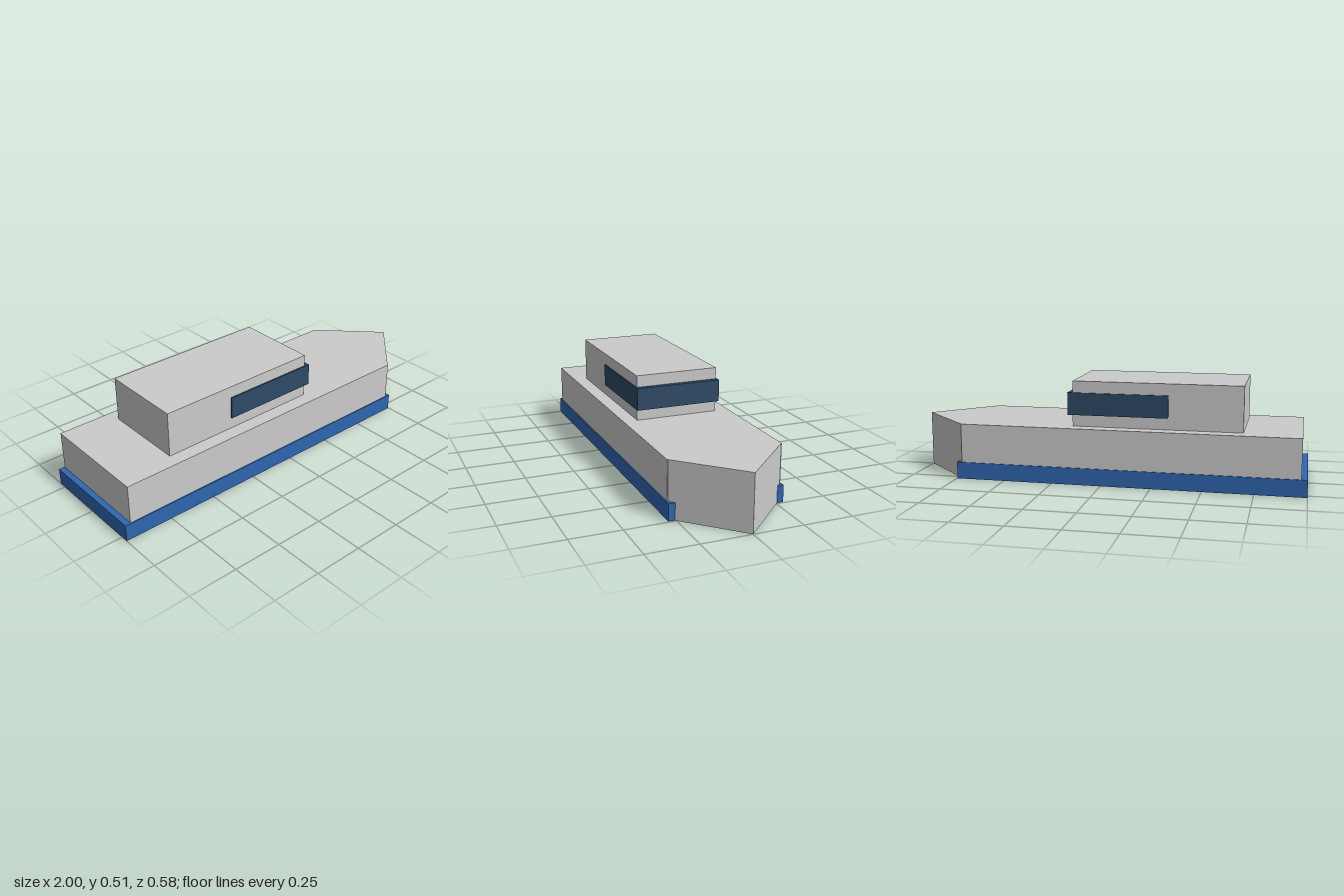
import * as THREE from 'three';

const paint = (color) => new THREE.MeshStandardMaterial({ color, flatShading: true });

// Box given by its extents in x and y and its half width in z
function block(name, x0, x1, y0, y1, halfWidth, material) {
  const mesh = new THREE.Mesh(new THREE.BoxGeometry(x1 - x0, y1 - y0, halfWidth * 2), material);
  mesh.position.set((x0 + x1) / 2, (y0 + y1) / 2, 0);
  mesh.name = name;
  return mesh;
}

export function createModel() {
  const model = new THREE.Group();
  model.name = 'boat';
  const grey = paint(0xcccccc);
  const blue = paint(0x2f66b0);
  const glass = paint(0x2d4a66);

  // Hull with a pointed bow towards +x, a plan outline raised to deck height
  const plan = new THREE.Shape([
    [-0.97, -0.283], [0.72, -0.283], [0.72, -0.28], [1, 0],
    [0.72, 0.28], [0.72, 0.283], [-0.97, 0.283],
  ].map(([x, z]) => new THREE.Vector2(x, z)));
  const hullGeometry = new THREE.ExtrudeGeometry(plan, { depth: 0.283, bevelEnabled: false });
  hullGeometry.rotateX(-Math.PI / 2);
  const hull = new THREE.Mesh(hullGeometry, grey);
  hull.name = 'hull';
  model.add(hull);

  // Waterline band, a hair above the keel plane so the hull bottom stays visible
  model.add(block('waterlineBand', -1, 0.745, 0.001, 0.086, 0.288, blue));

  // Cabin and its wraparound window
  model.add(block('cabin', -0.69, 0.155, 0.283, 0.51, 0.212, grey));
  model.add(block('cabinWindow', -0.325, 0.18, 0.34, 0.452, 0.219, glass));

  return model;
}
